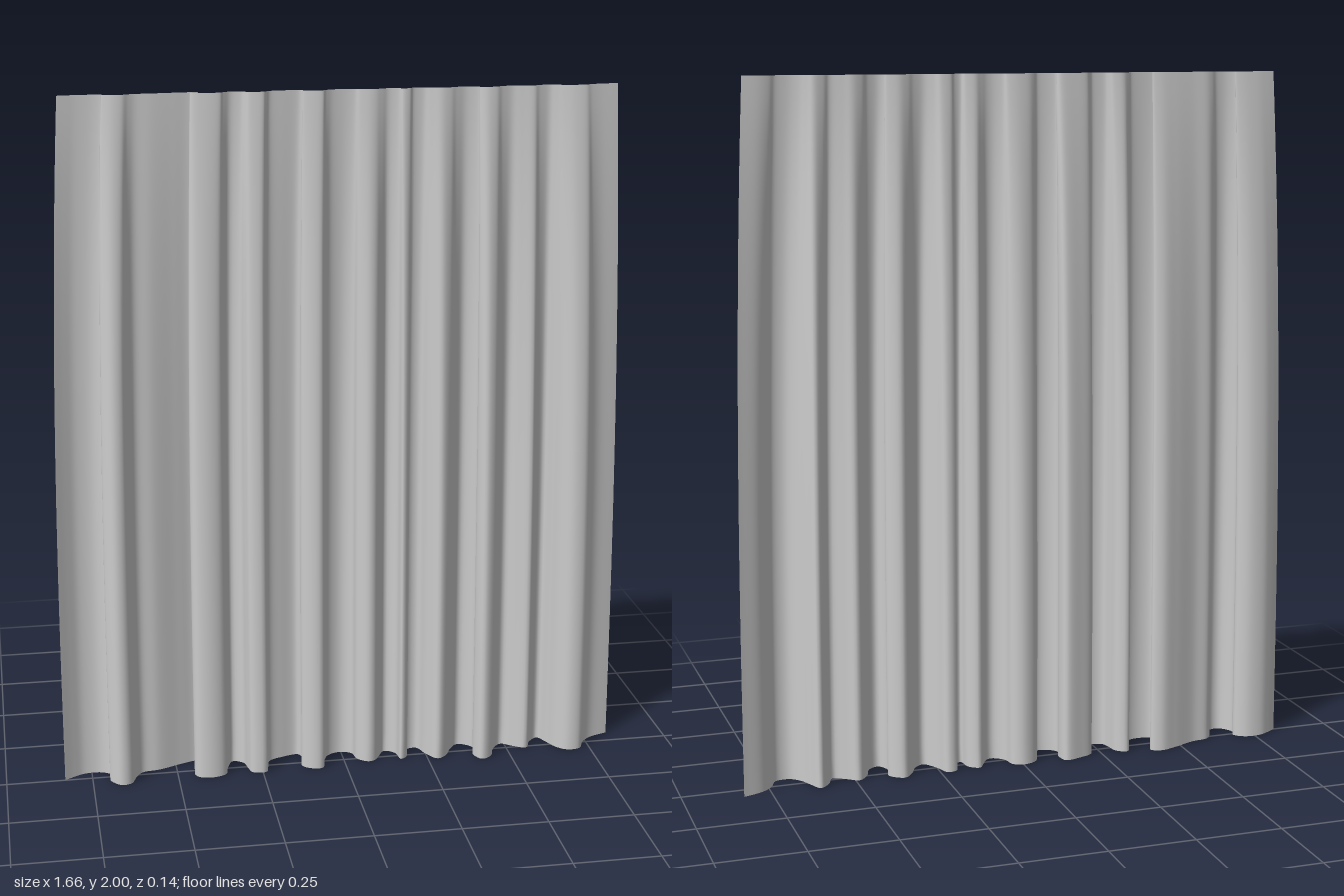
import * as THREE from 'three';

// Pleat line along the hem, as [x, z] points from one side edge to the other
const HEM = [
  [[-0.83, 0], [-0.8, -0.02], [-0.77, -0.035], [-0.72, -0.035], [-0.69, -0.01], [-0.7, 0.02], [-0.67, 0.06], [-0.64, 0.055],
    [-0.62, 0.01], [-0.6, -0.015], [-0.55, -0.025], [-0.48, -0.055], [-0.43, -0.07], [-0.4, -0.055], [-0.42, -0.02]],
  [[-0.45, 0.015], [-0.44, 0.045], [-0.4, 0.055], [-0.36, 0.04], [-0.35, 0], [-0.33, -0.045], [-0.3, -0.03], [-0.29, 0.01],
    [-0.28, 0.04], [-0.24, 0.045], [-0.23, 0.01], [-0.22, -0.03], [-0.18, -0.05], [-0.13, -0.06], [-0.12, -0.02]],
  [[-0.13, 0.02], [-0.1, 0.045], [-0.07, 0.045], [-0.06, 0], [-0.04, -0.04], [0, -0.055], [0.03, -0.04], [0.04, 0],
    [0.07, 0.025], [0.09, 0.02], [0.11, -0.01], [0.13, -0.04], [0.16, -0.02], [0.17, 0.025], [0.19, 0.01], [0.2, -0.04]],
  [[0.23, -0.045], [0.25, 0], [0.28, 0.04], [0.31, 0.02], [0.33, -0.02], [0.36, -0.05], [0.4, -0.02], [0.39, 0.03],
    [0.41, 0.065], [0.44, 0.05], [0.46, 0], [0.49, -0.03], [0.52, -0.01], [0.56, 0.01]],
  [[0.58, -0.03], [0.61, -0.055], [0.63, -0.02], [0.65, 0.02], [0.68, 0.045], [0.72, 0.04], [0.74, 0], [0.77, -0.03], [0.83, -0.055]],
].flat();

const HEIGHT = 2, COLS = 340, ROWS = 32;

function clothGeometry() {
  const curve = new THREE.CatmullRomCurve3(HEM.map(([x, z]) => new THREE.Vector3(x, 0, z)), false, 'centripetal');
  curve.arcLengthDivisions = 1000;
  const hem = curve.getSpacedPoints(COLS);
  const geo = new THREE.PlaneGeometry(1, HEIGHT, COLS, ROWS);
  const pos = geo.attributes.position;
  for (let row = 0; row <= ROWS; row++) {
    const t = row / ROWS;
    // Folds open quickly below the gathered top, then hang almost straight
    const open = 1 - Math.pow(1 - t, 2.5);
    for (let col = 0; col <= COLS; col++) {
      const p = hem[col];
      // The top edge is narrower, with the pleats evened out
      const even = (col / COLS * 2 - 1) * 0.78;
      const topX = THREE.MathUtils.lerp(p.x * 0.94, even, 0.25);
      pos.setXYZ(row * (COLS + 1) + col,
        THREE.MathUtils.lerp(topX, p.x, open),
        HEIGHT * (1 - t),
        p.z * (0.2 + 0.8 * open));
    }
  }
  geo.computeVertexNormals();
  return geo;
}

export function createModel() {
  const group = new THREE.Group();
  group.name = 'curtain';
  const cloth = new THREE.Mesh(clothGeometry(),
    new THREE.MeshStandardMaterial({ color: 0xcccccc, side: THREE.DoubleSide }));
  cloth.name = 'pleatedCloth';
  group.add(cloth);
  return group;
}
